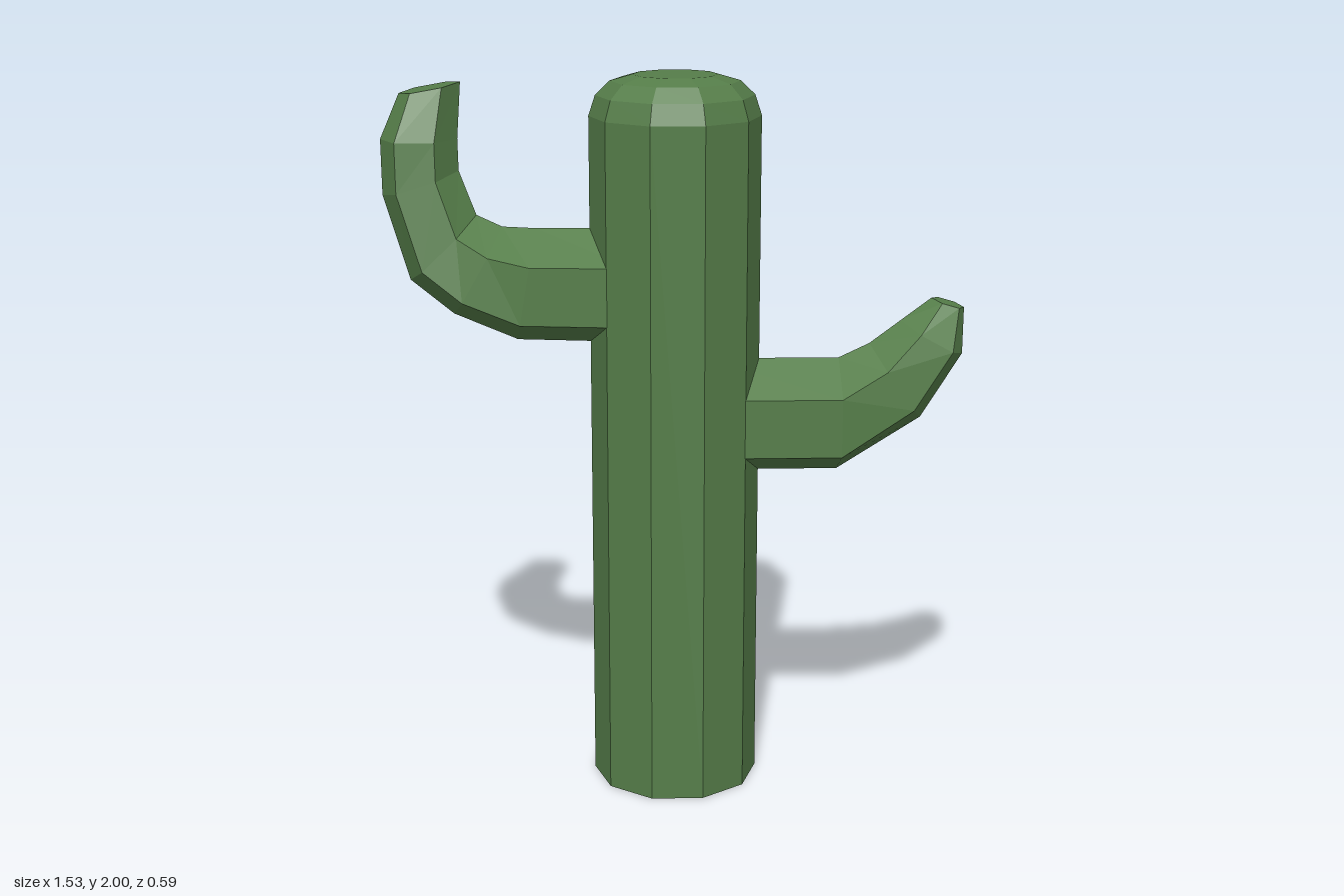
import * as THREE from 'three';

const CX = 0.01, CZ = 0.02; // trunk axis
// both arms lie along one vertical plane turned 18 degrees about the trunk
const COS = Math.cos(Math.PI / 10), SIN = Math.sin(Math.PI / 10);

// Faceted normals for every face
function facet(geometry) {
  const flat = geometry.index ? geometry.toNonIndexed() : geometry;
  flat.computeVertexNormals();
  return flat;
}

// Six-sided ring from its upper ridge, lower ridge, half width and sideways shift
function ring([topX, topY, botX, botY, w, shift]) {
  const at = (t, side) => {
    const x = topX + (botX - topX) * t;
    const z = CZ + (shift - SIN * (x - CX)) / COS;
    return new THREE.Vector3(x + side * w * SIN, topY + (botY - topY) * t, z + side * w * COS);
  };
  return [at(0, 0), at(0.27, 1), at(0.78, 1), at(1, 0), at(0.78, -1), at(0.27, -1)];
}

// Skin an arm over its rings and close the tip
function armGeometry(sections, mirrored) {
  const rings = sections.map(ring);
  if (mirrored) rings.forEach(r => r.reverse());
  const pos = [];
  const tri = (...points) => points.forEach(p => pos.push(p.x, p.y, p.z));
  for (let k = 0; k < rings.length - 1; k++) {
    for (let i = 0; i < 6; i++) {
      const j = (i + 1) % 6;
      const a = rings[k][i], b = rings[k][j], c = rings[k + 1][j], d = rings[k + 1][i];
      tri(a, b, c);
      tri(a, c, d);
    }
  }
  const tip = rings[rings.length - 1];
  const centre = tip.reduce((s, p) => s.add(p), new THREE.Vector3()).divideScalar(6);
  for (let i = 0; i < 6; i++) tri(centre, tip[i], tip[(i + 1) % 6]);
  const geometry = new THREE.BufferGeometry();
  geometry.setAttribute('position', new THREE.Float32BufferAttribute(pos, 3));
  return facet(geometry);
}

export function createModel() {
  const group = new THREE.Group();
  group.name = 'cactus';
  const green = new THREE.MeshStandardMaterial({ color: 0x557d49, flatShading: true });
  green.name = 'cactus green';
  const add = (name, geometry) => {
    const mesh = new THREE.Mesh(geometry, green);
    mesh.name = name;
    group.add(mesh);
    return mesh;
  };

  // Ten-sided trunk with a rounded crown
  const profile = [[0, 0], [0.232, 0], [0.232, 1.89], [0.214, 1.945], [0.175, 1.983], [0.115, 2], [0, 2]]
    .map(([r, y]) => new THREE.Vector2(r, y));
  add('trunk', facet(new THREE.LatheGeometry(profile, 10))).position.set(CX, 0, CZ);

  // Arm sections: ridge x, ridge y, underside x, underside y, half width, shift
  add('leftArm', armGeometry([
    [0.1, 1.222, 0.1, 0.902, 0.137, 0],
    [0.44, 1.222, 0.44, 0.902, 0.137, 0],
    [0.52, 1.262, 0.66, 1.05, 0.11, 0],
    [0.6, 1.325, 0.765, 1.23, 0.08, -0.005],
    [0.675, 1.382, 0.762, 1.355, 0.043, -0.03],
  ], false));

  add('rightArm', armGeometry([
    [-0.1, 1.587, -0.1, 1.27, 0.137, 0],
    [-0.35, 1.588, -0.4, 1.28, 0.137, 0],
    [-0.44, 1.59, -0.57, 1.35, 0.118, -0.015],
    [-0.515, 1.618, -0.69, 1.44, 0.1, -0.04],
    [-0.567, 1.735, -0.765, 1.67, 0.093, -0.065],
    [-0.572, 1.82, -0.77, 1.82, 0.09, -0.075],
    [-0.572, 1.97, -0.73, 1.94, 0.073, -0.104],
  ], true));

  return group;
}
